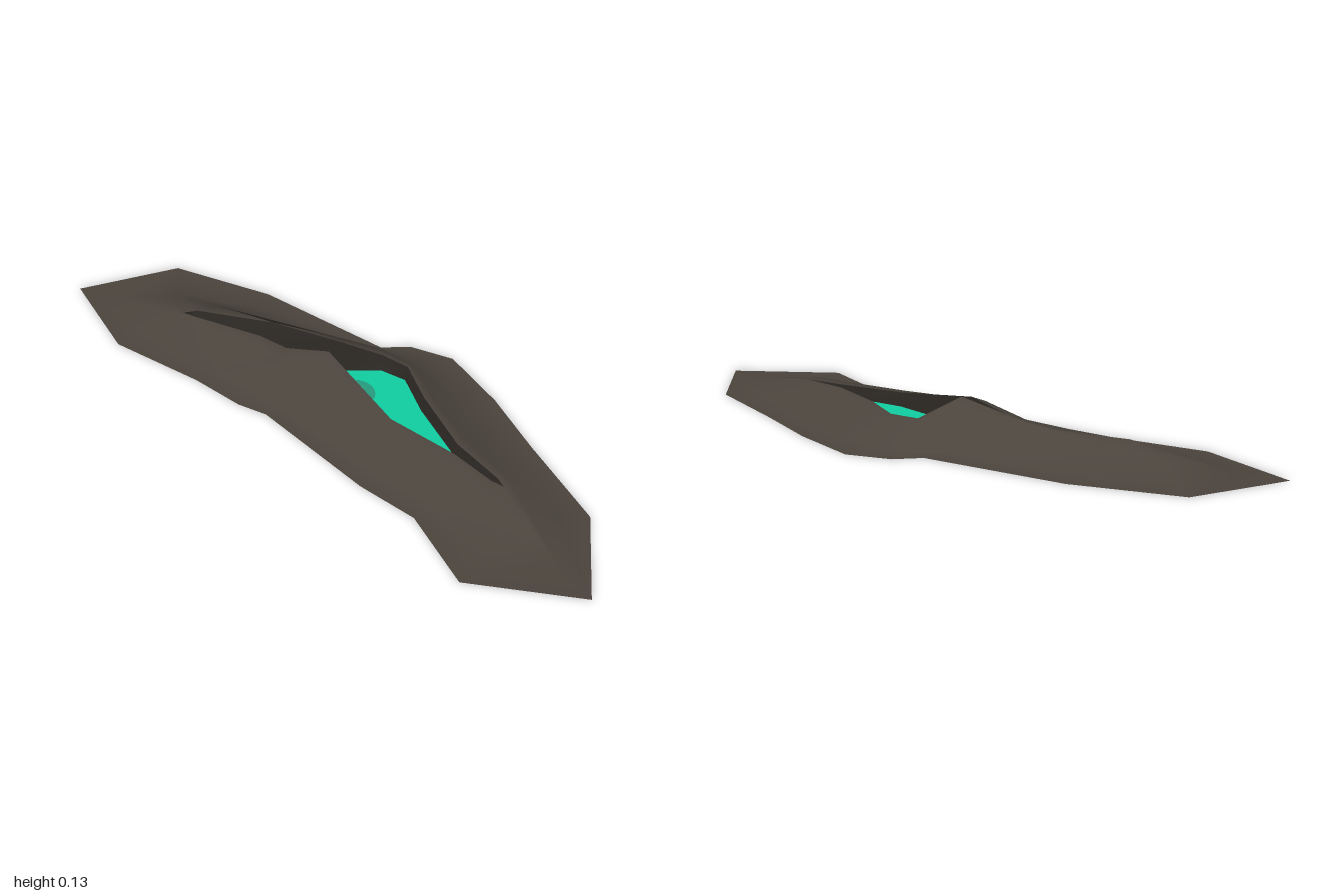
import * as THREE from 'three';

const mat = (name, color) => {
  const m = new THREE.MeshStandardMaterial({ color, side: THREE.DoubleSide });
  m.name = name;
  return m;
};

// Cross-section loops, each running left end -> back -> right end -> front
const OUTER = [[-1, .21], [-.87, -.08], [-.56, -.185], [-.12, -.235], [-.06, -.3], [.07, -.345],
  [.29, -.285], [.5, -.2], [.8, -.09], [1, .15], [.72, .34], [.47, .245], [.28, .255],
  [-.13, .225], [-.22, .25], [-.39, .26], [-.69, .31]].map(([x, z]) => [x, 0, z]);
const FOOT = [[-.87, .15], [-.8, -.02], [-.53, -.11], [-.15, -.15], [-.08, -.21], [.07, -.25],
  [.26, -.2], [.46, -.13], [.72, -.04], [.87, .12], [.7, .22], [.46, .18], [.27, .19],
  [-.12, .17], [-.22, .18], [-.38, .19], [-.67, .22]].map(([x, z]) => [x, 0, z]);
const SHOULDER = [[-.78, .03, .12], [-.72, .035, .05], [-.56, .06, .02], [-.14, .115, -.07],
  [-.05, .074, -.16], [.07, .07, -.17], [.21, .072, -.1], [.4, .07, -.03], [.6, .062, .01],
  [.77, .025, .09], [.6, .05, .11], [.42, .062, .09], [.22, .073, .08], [-.1, .097, .065],
  [-.24, .065, .07], [-.38, .06, .08], [-.57, .05, .12]];
const RIM = [[-.62, .05, .11], [-.58, .065, .085], [-.36, .08, -.02], [-.1, .132, -.045],
  [-.02, .075, -.14], [.07, .075, -.15], [.2, .075, -.08], [.4, .07, 0], [.57, .065, .025],
  [.6, .06, .035], [.56, .06, .04], [.42, .068, .035], [.2, .075, .055], [-.1, .122, .002],
  [-.25, .07, .03], [-.36, .06, .035], [-.58, .055, .105]];
const THROAT = [[-.6, .03, .105], [-.56, .03, .088], [-.36, .03, 0], [-.1, .03, -.03],
  [-.01, .03, -.122], [.07, .03, -.138], [.2, .03, -.068], [.39, .03, .008], [.54, .03, .031],
  [.56, .03, .035], [.54, .03, .037], [.4, .03, .028], [.2, .03, .045], [-.1, .03, -.006],
  [-.23, .03, .016], [-.36, .03, .018], [-.57, .03, .098]];

// Joins successive loops into one smooth surface
function loft(loops) {
  const n = loops[0].length, index = [];
  for (let r = 0; r < loops.length - 1; r++) {
    for (let i = 0; i < n; i++) {
      const j = (i + 1) % n, a = r * n + i, b = r * n + j;
      index.push(a, a + n, b, b, a + n, b + n);
    }
  }
  const g = new THREE.BufferGeometry();
  g.setAttribute('position', new THREE.Float32BufferAttribute(loops.flat(2), 3));
  g.setIndex(index);
  g.computeVertexNormals();
  return g;
}

// Level sheet from [x, z] outline points
function sheet(points, y) {
  const shape = new THREE.Shape(points.map(([x, z]) => new THREE.Vector2(x, -z)));
  return new THREE.ShapeGeometry(shape).rotateX(-Math.PI / 2).translate(0, y, 0);
}

export function createModel() {
  const rock = mat('rock', 0x4b443d);
  const darkRock = mat('dark rock', 0x2c2824);
  const green = mat('glowing green', 0x10cda0);
  const dullGreen = mat('dull green', 0x279a7d);

  const group = new THREE.Group();
  group.name = 'fissure';
  const add = (name, geometry, material) => {
    const mesh = new THREE.Mesh(geometry, material);
    mesh.name = name;
    group.add(mesh);
  };

  // Flat skirt and raised mound
  add('mound', loft([OUTER, FOOT, SHOULDER, RIM]), rock);
  // Steep sides of the opening
  add('innerWall', loft([RIM, THROAT]), darkRock);
  // Floor of the narrow end of the crack
  add('crackFloor', sheet([[-.6, .105], [-.56, .085], [-.36, -.005], [-.2, -.025], [-.2, .02], [-.36, .022]], .031), darkRock);
  // Pool filling the opening, tucked under the walls
  add('pool', sheet([[-.2, -.02], [-.1, -.04], [-.02, -.135], [.07, -.15], [.2, -.085], [.4, -.005],
    [.56, .035], [.42, .045], [.2, .06], [-.1, .015], [-.2, .02]], .034), green);
  // Dull round patch against the front wall
  const arc = [];
  for (let i = 0; i <= 12; i++) {
    const a = Math.PI * i / 12;
    arc.push([.01 - .065 * Math.cos(a), .015 - .065 * Math.sin(a)]);
  }
  add('poolPatch', sheet(arc, .037), dullGreen);
  return group;
}
